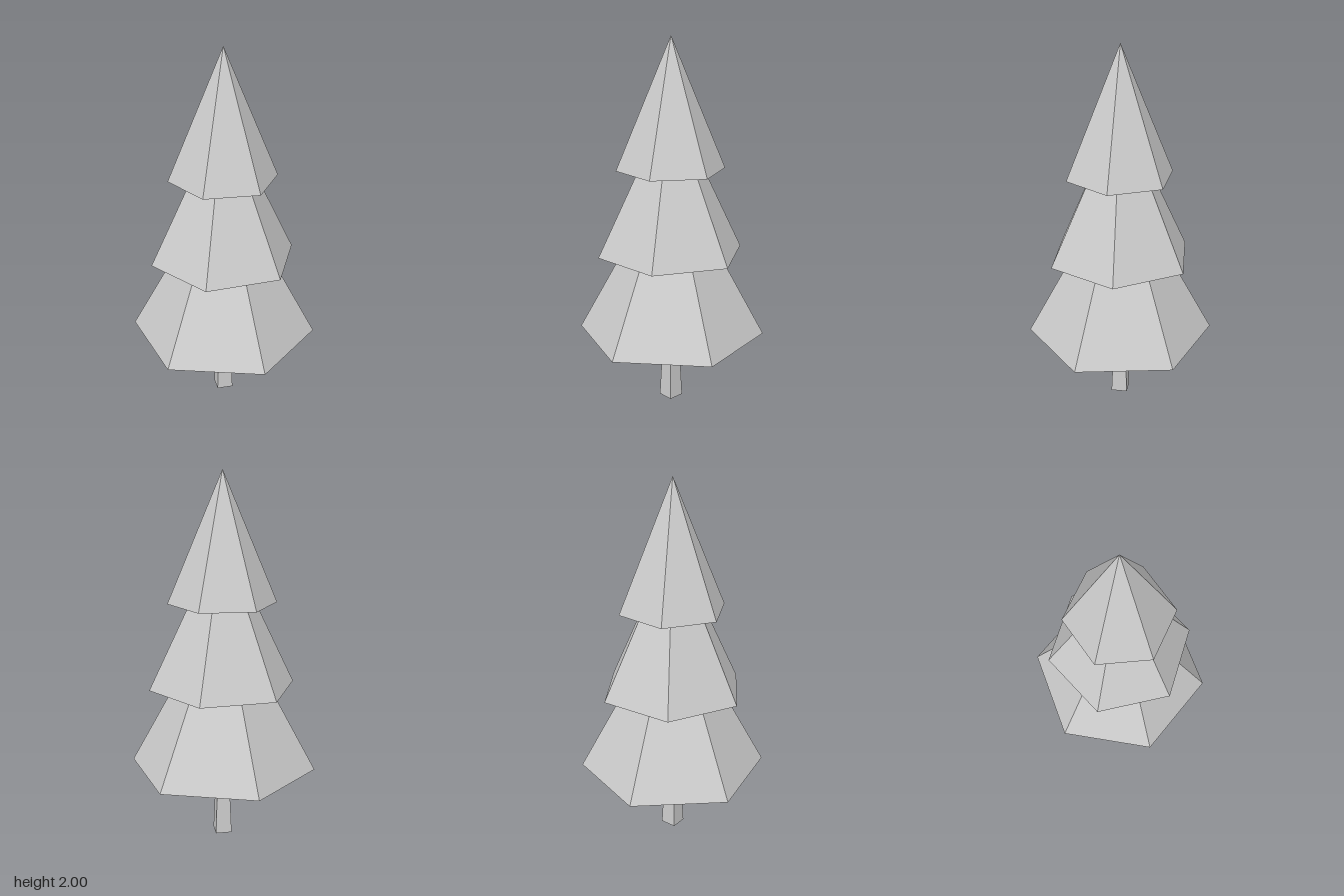
import * as THREE from 'three';

export function createModel() {
  const tree = new THREE.Group();
  tree.name = 'pineTree';
  const grey = new THREE.MeshStandardMaterial({
    color: 0xcccccc, flatShading: true, side: THREE.DoubleSide,
  });
  grey.name = 'plain grey';

  const add = (name, geometry, y, turn = 0) => {
    const mesh = new THREE.Mesh(geometry, grey);
    mesh.name = name;
    mesh.position.y = y;
    mesh.rotation.y = turn;
    tree.add(mesh);
  };

  // Tapered four-sided trunk, open at both ends
  add('trunk', new THREE.CylinderGeometry(0.042, 0.063, 0.4, 4, 1, true), 0.2);

  // Six-sided foliage cones; only the lowest is closed underneath
  const tiers = [
    { name: 'lowerFoliage', radius: 0.509, base: 0.4, tip: 1.33, turn: -0.059, open: false },
    { name: 'middleFoliage', radius: 0.4, base: 0.857, tip: 1.68, turn: 0.328, open: true },
    { name: 'topFoliage', radius: 0.291, base: 1.312, tip: 2, turn: 0.195, open: true },
  ];
  for (const { name, radius, base, tip, turn, open } of tiers) {
    const height = tip - base;
    add(name, new THREE.ConeGeometry(radius, height, 6, 1, open), base + height / 2, turn);
  }
  return tree;
}
